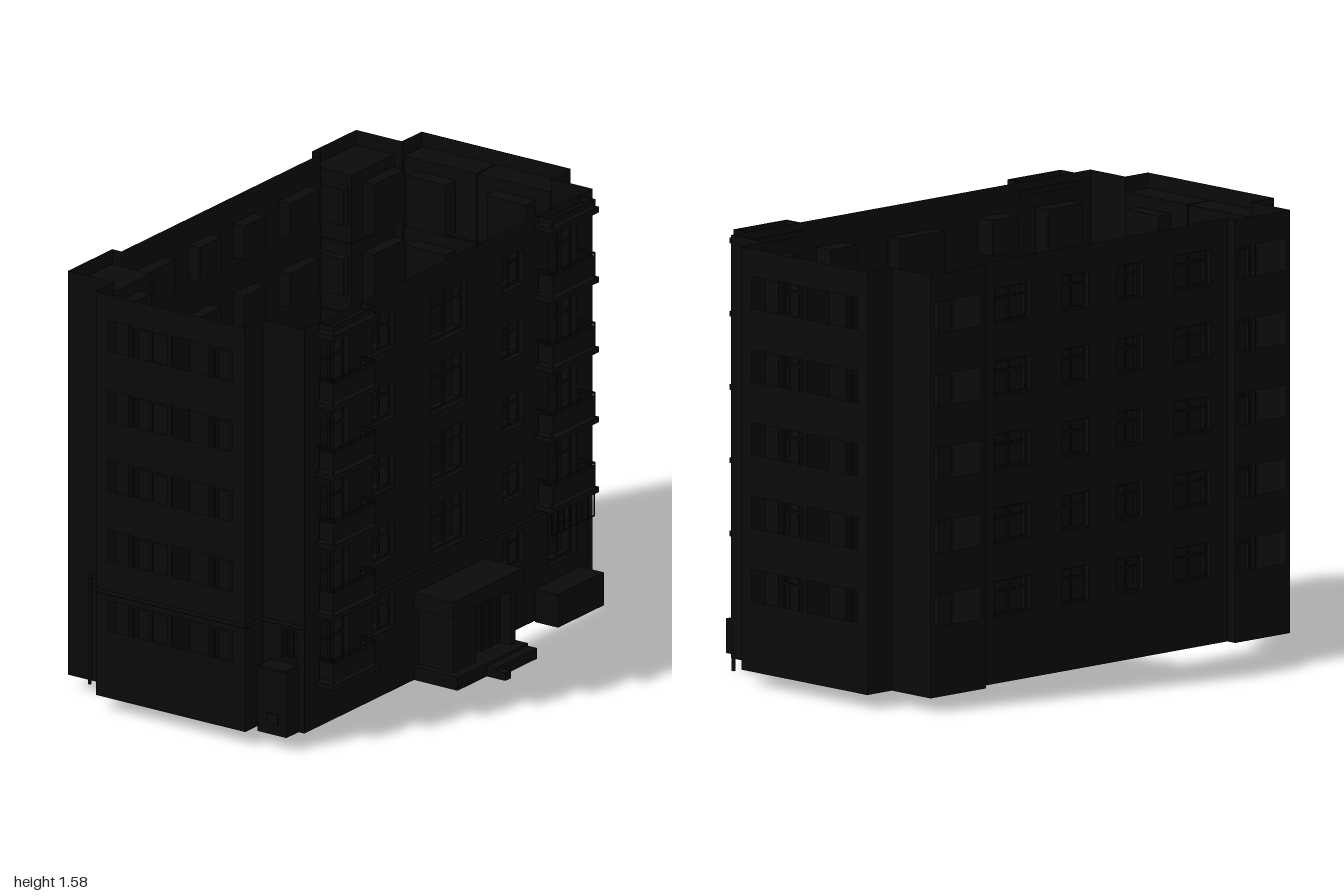
import * as THREE from 'three';
import { mergeGeometries } from 'three/addons/utils/BufferGeometryUtils.js';

const FLOOR = 0.265, BOTTOM = 0.05, TOP = 1.58;
const material = new THREE.MeshStandardMaterial({ color: 0x0a0a0a, side: THREE.DoubleSide });

function box(x0, x1, y0, y1, z0, z1) {
  return new THREE.BoxGeometry(x1 - x0, y1 - y0, z1 - z0)
    .translate((x0 + x1) / 2, (y0 + y1) / 2, (z0 + z1) / 2);
}

function part(name, geometries) {
  const mesh = new THREE.Mesh(mergeGeometries(geometries), material);
  mesh.name = name;
  return mesh;
}

// Box without its front and back faces: the lining of a niche.
function lining(x0, x1, y0, y1, z0, z1) {
  const g = box(x0, x1, y0, y1, z0, z1);
  g.setIndex(Array.from(g.index.array).slice(0, 24));
  return g;
}

// Frame bars with a centre mullion and a transom.
function frame(x0, x1, y0, y1, z) {
  const t = 0.008, xm = (x0 + x1) / 2, yt = y0 + (y1 - y0) * 0.65;
  return [
    box(x0, x0 + t, y0, y1, z - t, z), box(x1 - t, x1, y0, y1, z - t, z),
    box(x0, x1, y0, y0 + t, z - t, z), box(x0, x1, y1 - t, y1, z - t, z),
    box(xm - t / 2, xm + t / 2, y0, y1, z - t, z), box(x0, x1, yt, yt + t, z - t, z),
  ];
}

// Flat panel with openings; each opening leads into a room whose back is again a panel.
function panel(walls, frames, rect, z, openings) {
  const [x0, x1, y0, y1] = rect;
  const path = (P, [a, b, c, d]) => new P([[a, c], [b, c], [b, d], [a, d]].map(p => new THREE.Vector2(...p)));
  const shape = path(THREE.Shape, [x0, x1, y0, y1]);
  for (const o of openings) {
    shape.holes.push(path(THREE.Path, o.rect));
    const room = o.room || o.rect;
    walls.push(lining(...room, z - o.depth, z));
    panel(walls, frames, room, z - o.depth, o.inner || []);
    if (!o.inner) frames.push(...frame(...o.rect, z - 0.02));
  }
  walls.push(new THREE.ShapeGeometry(shape).translate(0, 0, z));
}

// Wall between two plan points; openings are given along the wall in world coordinates.
function wall(name, [ax, az], [bx, bz], openings = []) {
  const start = Math.abs(bx - ax) > Math.abs(bz - az) ? ax : az;
  const local = ([c0, c1, y0, y1]) => {
    const [u0, u1] = [Math.abs(c0 - start), Math.abs(c1 - start)].sort((p, q) => p - q);
    return [u0, u1, y0, y1];
  };
  const convert = o => ({
    depth: o.depth, rect: local(o.rect),
    room: o.room && local(o.room), inner: o.inner && o.inner.map(convert),
  });
  const walls = [], frames = [];
  panel(walls, frames, [0, Math.hypot(bx - ax, bz - az), BOTTOM, TOP], 0, openings.map(convert));
  const group = new THREE.Group();
  group.name = name;
  group.add(part('wallPanel', walls));
  if (frames.length) group.add(part('windowFrames', frames));
  group.position.set(ax, 0, az);
  group.rotation.y = Math.atan2(az - bz, bx - ax);
  return group;
}

// Repeats one storey's openings on all five floors.
function floors(make) {
  const list = [];
  for (let k = 0; k < 5; k++) list.push(...make(k * FLOOR));
  return list;
}

function balcony(z0, z1, y) {
  const x0 = 0.38, x1 = 0.45, h = Math.min(y + 0.1, TOP), t = 0.008;
  const g = [box(x0 - 0.01, 0.46, y, y + 0.02, z0, z1)];
  g.push(box(x1 - t, x1, y + 0.03, h, z0 + 0.01, z1 - 0.01));
  for (const z of [z0 + 0.01, z1 - 0.01 - t]) g.push(box(x0 + 0.008, x1, y + 0.03, h, z, z + t));
  // Corner posts and handrail
  const rail = Math.min(y + 0.115, TOP);
  for (const z of [z0 + 0.01, z1 - 0.015]) {
    g.push(box(x1 - 0.005, x1, y + 0.02, rail, z, z + 0.005), box(x0, x1, rail - 0.005, rail, z, z + 0.005));
  }
  g.push(box(x1 - 0.005, x1, rail - 0.005, rail, z0 + 0.01, z1 - 0.01));
  return part('balcony', g);
}

function pipe(name, points, radius) {
  const g = [], up = new THREE.Vector3(0, 1, 0);
  const pts = points.map(p => new THREE.Vector3(...p));
  for (let i = 1; i < pts.length; i++) {
    const d = pts[i].clone().sub(pts[i - 1]);
    const c = new THREE.CylinderGeometry(radius, radius, d.length(), 8);
    c.applyQuaternion(new THREE.Quaternion().setFromUnitVectors(up, d.clone().normalize()));
    const m = pts[i].clone().add(pts[i - 1]).multiplyScalar(0.5);
    g.push(c.translate(m.x, m.y, m.z));
  }
  return part(name, g);
}

export function createModel() {
  const model = new THREE.Group();
  model.name = 'apartmentBlock';

  // Two columns of loggias on each end block
  const endLoggias = floors(d => [
    { rect: [-0.40, -0.14, 0.305 + d, 0.42 + d], room: [-0.445, -0.13, 0.205 + d, 0.465 + d], depth: 0.115,
      inner: [{ rect: [-0.39, -0.22, 0.225 + d, 0.42 + d], depth: 0.06 }] },
    { rect: [-0.12, 0.145, 0.305 + d, 0.42 + d], room: [-0.125, 0.195, 0.205 + d, 0.465 + d], depth: 0.115,
      inner: [{ rect: [-0.04, 0.13, 0.225 + d, 0.42 + d], depth: 0.06 }] },
  ]);

  // Side loggias at the two corners of the plain side
  const cornerLoggia = s => floors(d => [
    { rect: [s * 0.63, s * 0.86, 0.305 + d, 0.42 + d], room: [s * 0.615, s * 0.875, 0.205 + d, 0.465 + d], depth: 0.17,
      inner: [{ rect: [s * 0.68, s * 0.87, 0.225 + d, 0.42 + d], depth: 0.05 }] },
  ]);

  const sideWindows = floors(d => [[-0.53, -0.35], [-0.2, -0.07], [0.07, 0.2], [0.35, 0.53]].map(
    ([a, b]) => ({ rect: [a, b, 0.29 + d, 0.42 + d], depth: 0.05 })));

  // Entrance side: windows, balcony doors and stairwell windows
  const entranceOpenings = floors(d => {
    const list = [];
    for (const s of [-1, 1]) {
      list.push({ rect: [s * 0.33, s * 0.46, 0.29 + d, 0.42 + d], depth: 0.075 });
      list.push({ rect: [s * 0.61, s * 0.78, 0.23 + d, 0.42 + d], depth: 0.065 });
    }
    if (d > 0) list.push({ rect: [-0.11, 0.11, 0.225 + d, 0.41 + d], depth: 0.06 });
    return list;
  });

  // Outline, anticlockwise from above
  const F = 0.99;
  model.add(
    wall('frontLeftCorner', [-0.65, 0.88], [-0.45, 0.88]),
    wall('frontBlockReturn', [-0.45, 0.88], [-0.45, F]),
    wall('frontBlock', [-0.45, F], [0.2, F], endLoggias),
    wall('frontBlockReturn', [0.2, F], [0.2, 0.88]),
    wall('frontRightCorner', [0.2, 0.88], [0.38, 0.88], [{ rect: [0.28, 0.35, 0.31, 0.43], depth: 0.05 }]),
    wall('entranceWall', [0.38, 0.88], [0.38, -0.88], entranceOpenings),
    wall('backRightCorner', [0.38, -0.88], [0.2, -0.88]),
    wall('backBlockReturn', [0.2, -0.88], [0.2, -1]),
    wall('backBlock', [0.2, -1], [-0.45, -1], endLoggias),
    wall('backBlockReturn', [-0.45, -1], [-0.45, -0.88]),
    wall('backLeftCorner', [-0.45, -0.88], [-0.65, -0.88]),
    wall('sideBackLoggias', [-0.65, -0.88], [-0.65, -0.61], cornerLoggia(-1)),
    wall('sideReturn', [-0.65, -0.61], [-0.61, -0.61]),
    wall('sideWall', [-0.61, -0.61], [-0.61, 0.61], sideWindows),
    wall('sideReturn', [-0.61, 0.61], [-0.65, 0.61]),
    wall('sideFrontLoggias', [-0.65, 0.61], [-0.65, 0.88], cornerLoggia(1)),
  );

  // Window niches on the inner side of the corner loggias
  const niches = floors(d => [box(-0.59, -0.49, 0.28 + d, 0.42 + d, 0.58, 0.612),
    box(-0.59, -0.49, 0.28 + d, 0.42 + d, -0.612, -0.58)]);
  model.add(part('loggiaSideNiches', niches));

  // Balconies
  for (let k = -1; k < 5; k++) {
    const y = 0.47 + k * FLOOR;
    model.add(balcony(0.53, 0.81, y));
    if (k >= 0) model.add(balcony(-0.81, -0.53, y));
  }
  model.add(part('groundBlock', [box(0.38, 0.48, 0.045, 0.17, -0.81, -0.53)]));

  // Hanging grille under the lowest back balcony
  const grille = [];
  for (let i = 0; i < 8; i++) {
    const z = -0.8 + i * 0.037;
    grille.push(box(0.445, 0.449, 0.38, 0.47, z, z + 0.004));
  }
  grille.push(box(0.445, 0.449, 0.38, 0.384, -0.8, -0.537));
  model.add(part('balconyGrille', grille));

  // Entrance porch with canopy, recessed door and steps
  model.add(part('porchCanopy', [box(0.38, 0.55, 0.32, 0.38, -0.22, 0.21)]));
  model.add(part('porchWalls', [
    box(0.38, 0.53, 0.1, 0.32, 0.04, 0.18), box(0.38, 0.53, 0.1, 0.32, -0.2, -0.17),
    box(0.38, 0.53, 0.3, 0.32, -0.17, 0.04),
  ]));
  const door = [box(0.47, 0.48, 0.1, 0.3, -0.17, 0.04)];
  for (const z of [-0.165, -0.115, -0.065, -0.015, 0.025]) door.push(box(0.48, 0.488, 0.1, 0.3, z, z + 0.01));
  model.add(part('entranceDoor', door));
  model.add(part('porchPlatform', [
    box(0.38, 0.57, BOTTOM, 0.1, -0.22, 0.21), box(0.57, 0.61, BOTTOM, 0.09, -0.22, 0.03),
    box(0.61, 0.65, BOTTOM, 0.08, -0.005, 0.03),
  ]));

  // Small ground floor annex on the front
  model.add(part('annex', [
    box(0.23, 0.355, BOTTOM, 0.3, 0.88, 0.955),
    box(0.27, 0.32, 0.09, 0.13, 0.955, 0.96), box(0.235, 0.35, 0.295, 0.302, 0.88, 0.96),
  ]));

  // Service pipe around the front and the entrance side
  model.add(pipe('servicePipe', [
    [-0.55, 0.04, 0.888], [-0.55, 0.45, 0.888], [-0.457, 0.45, 0.888], [-0.457, 0.45, 0.993],
    [0.207, 0.45, 0.993], [0.207, 0.45, 0.888], [0.387, 0.45, 0.888], [0.387, 0.45, -0.86], [0.387, 0, -0.86],
  ], 0.007));
  return model;
}
